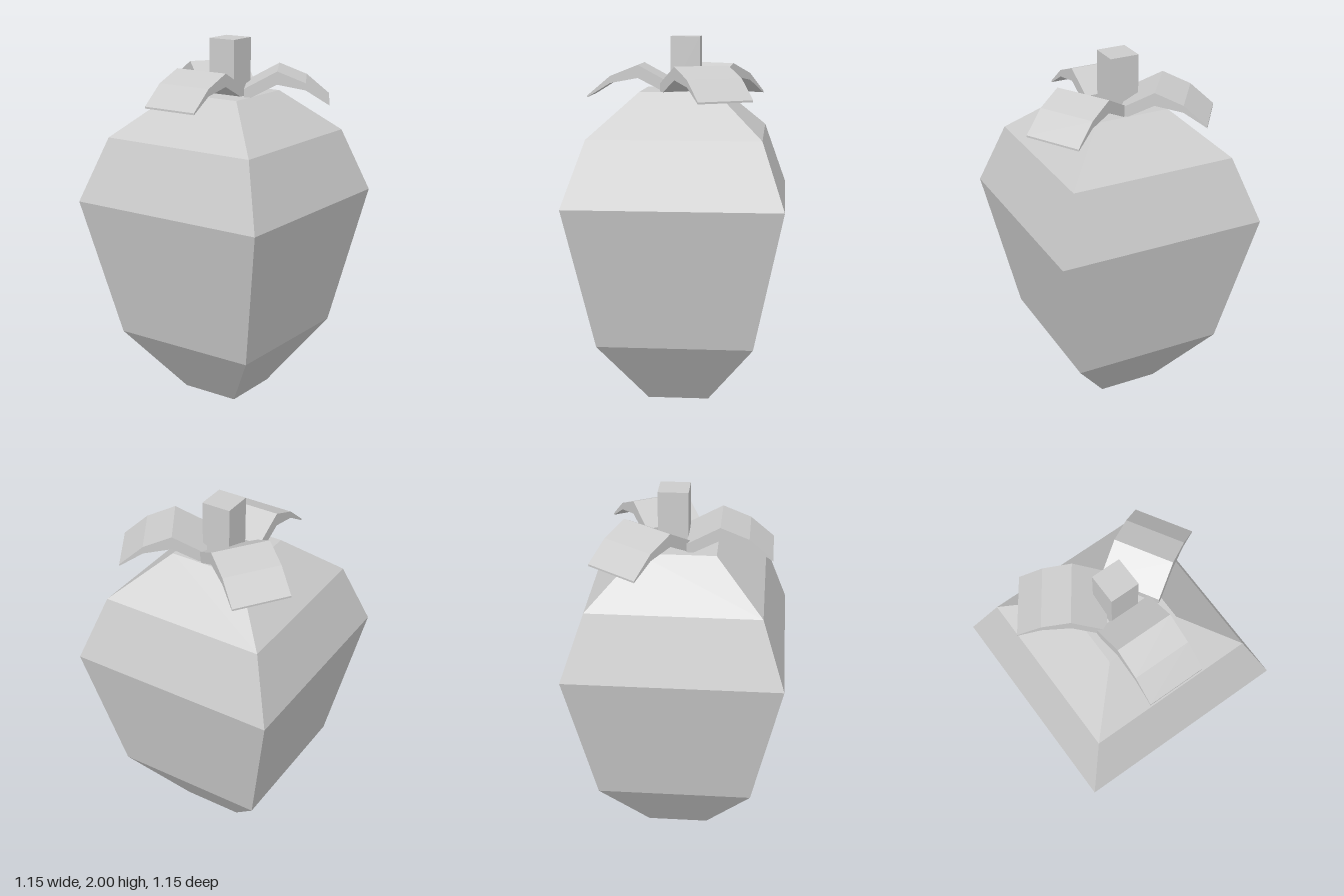
import * as THREE from 'three';

const material = new THREE.MeshStandardMaterial({ color: 0xcccccc, flatShading: true });

function addPart(parent, name, geometry) {
  const mesh = new THREE.Mesh(geometry, material);
  mesh.name = name;
  parent.add(mesh);
  return mesh;
}

export function createModel() {
  const model = new THREE.Group();
  model.name = 'fruit';

  // Square-sectioned fruit body: [half width, height] from base to top
  const profile = [[0, 0], [0.167, 0], [0.42, 0.36], [0.577, 1.13], [0.457, 1.48], [0.205, 1.71], [0, 1.71]]
    .map(([half, y]) => new THREE.Vector2(half * Math.SQRT2, y));
  addPart(model, 'body', new THREE.LatheGeometry(profile, 4, Math.PI / 4));

  // Square stem, slightly off centre
  addPart(model, 'stem', new THREE.BoxGeometry(0.16, 0.3, 0.16)).position.set(0.03, 1.85, 0);

  // Arched leaf side profile; x = 0 is the tip, -x runs in towards the stem
  const leafShape = new THREE.Shape([
    [0, 1.675], [0, 1.685], [-0.125, 1.79], [-0.275, 1.85],
    [-0.45, 1.755], [-0.45, 1.69], [-0.275, 1.78], [-0.125, 1.752],
  ].map(([x, y]) => new THREE.Vector2(x, y)));
  const width = 0.317;
  const leafGeometry = new THREE.ExtrudeGeometry(leafShape, { depth: width, bevelEnabled: false });
  leafGeometry.translate(0, 0, -width / 2);

  // Leaves: tip position and outward direction in the ground plane
  const leaves = [
    ['rightLeaf', -0.495, -0.01, -1, 0],
    ['frontLeaf', 0.27, 0.483, 0.51, 0.86],
    ['backLeaf', 0.318, -0.398, 0.59, -0.81],
  ];
  for (const [name, x, z, dx, dz] of leaves) {
    const leaf = addPart(model, name, leafGeometry);
    leaf.position.set(x, 0, z);
    leaf.rotation.y = Math.atan2(-dz, dx);
  }

  return model;
}
